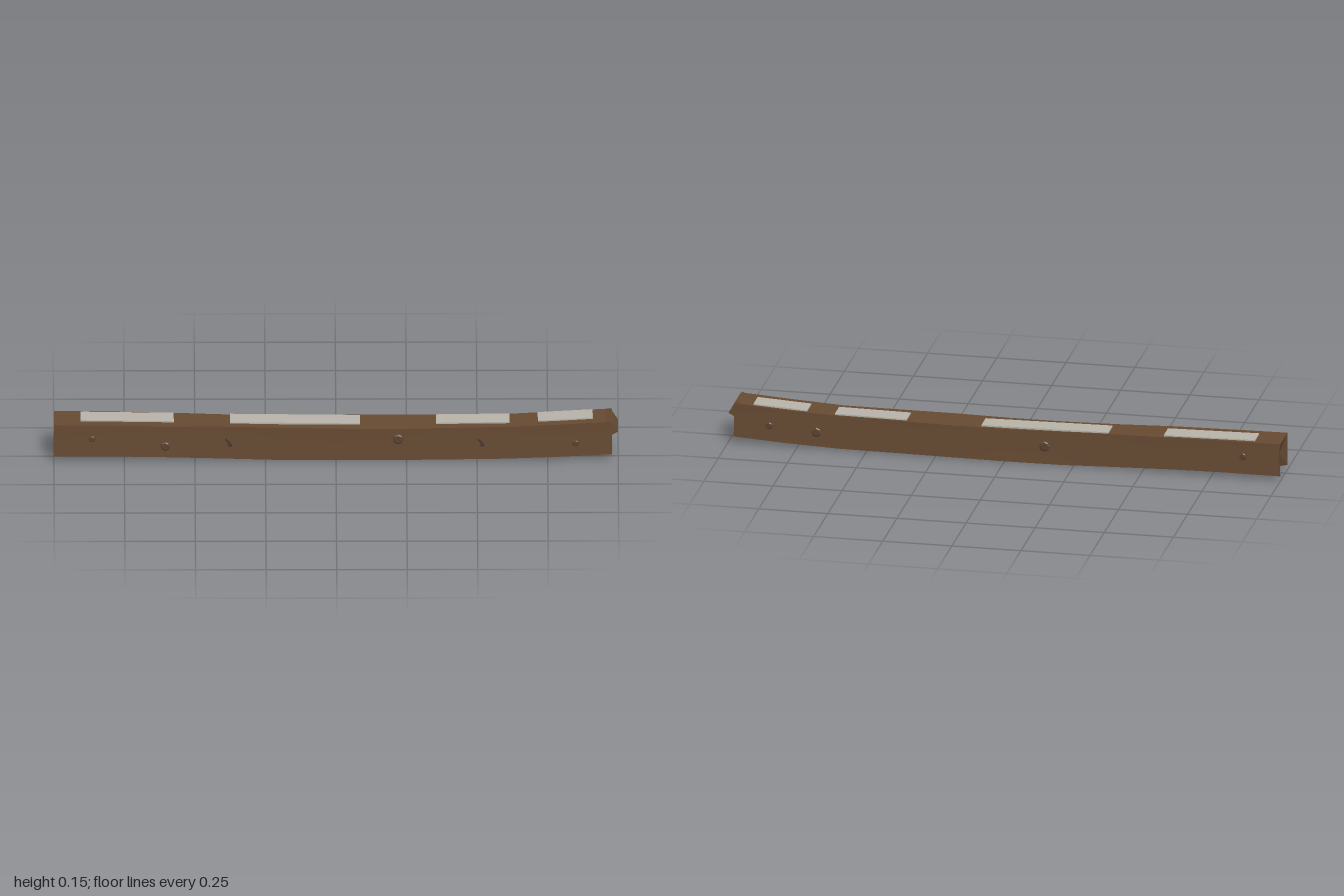
import * as THREE from 'three';

const wood = new THREE.MeshStandardMaterial({ color: 0x664a32 });
wood.name = 'weathered wood';
const pegWood = new THREE.MeshStandardMaterial({ color: 0x5a4230 });
pegWood.name = 'peg wood';
const iron = new THREE.MeshStandardMaterial({ color: 0x4a382c });
iron.name = 'rusty iron';
const pale = new THREE.MeshStandardMaterial({ color: 0xb6b2a8 });
pale.name = 'pale patch';

// Beam stations: x, bottom y, top y, back z, front z
const stations = [
  [-1, 0.02, 0.141, -0.085, 0.041],
  [-0.8, 0.02, 0.139, -0.083, 0.041],
  [-0.6, 0.017, 0.136, -0.081, 0.042],
  [-0.4, 0.009, 0.132, -0.074, 0.035],
  [-0.2, 0.003, 0.128, -0.074, 0.035],
  [0, 0.005, 0.126, -0.082, 0.04],
  [0.2, 0.007, 0.127, -0.083, 0.046],
  [0.4, 0.007, 0.129, -0.078, 0.041],
  [0.6, 0.008, 0.131, -0.077, 0.037],
  [0.8, 0.017, 0.141, -0.08, 0.04],
  [0.978, 0.027, 0.152, -0.077, 0.042],
];

// Interpolated station at any x
function sectionAt(x) {
  let i = 0;
  while (i < stations.length - 2 && stations[i + 1][0] < x) i++;
  const a = stations[i], b = stations[i + 1];
  const t = (x - a[0]) / (b[0] - a[0]);
  return a.map((v, k) => v + (b[k] - v) * t);
}

// Eight points around a section: corners and mid-sides, counter-clockwise seen from +x
function ring([x, y0, y1, zb, zf], first) {
  const ym = (y0 + y1) / 2, zm = (zb + zf) / 2, dent = 0.001;
  const low = first ? [x + 0.035, y0 + 0.012, zm] : [x, y0, zm];
  return [
    [x, y0, zf], low, [x, y0, zb], [x + (first ? 0.008 : 0), ym, zb + dent],
    [x, y1, zb], [x, y1, zm], [x, y1, zf], [x, ym, zf - dent],
  ];
}

function surface(points, index) {
  const g = new THREE.BufferGeometry();
  g.setAttribute('position', new THREE.Float32BufferAttribute(points.flat(), 3));
  g.setIndex(index);
  g.computeVertexNormals();
  return g;
}

function add(parent, geometry, material, name) {
  const m = new THREE.Mesh(geometry, material);
  m.name = name;
  parent.add(m);
  return m;
}

function buildBeam() {
  const beam = new THREE.Group();
  beam.name = 'beam';
  const rings = stations.map((s, i) => ring(s, i === 0));
  // Each long side is its own strip, keeping the four edges sharp
  ['bottomSide', 'backSide', 'topSide', 'frontSide'].forEach((name, s) => {
    const pts = [], idx = [];
    rings.forEach((r, i) => {
      for (let k = 0; k < 3; k++) pts.push(r[(s * 2 + k) % 8]);
      if (i === 0) return;
      for (let k = 0; k < 2; k++) {
        const a = (i - 1) * 3 + k, b = a + 1, c = a + 3, d = c + 1;
        idx.push(a, b, c, b, d, c);
      }
    });
    add(beam, surface(pts, idx), wood, name);
  });
  // End caps; the far end is scooped inward
  const cap = (r, inset, flip, name) => {
    const c = [r[0][0] + inset, (r[0][1] + r[4][1]) / 2, (r[0][2] + r[4][2]) / 2];
    const idx = [];
    for (let k = 0; k < 8; k++) {
      const n = (k + 1) % 8;
      idx.push(8, ...(flip ? [n, k] : [k, n]));
    }
    add(beam, surface([...r, c], idx).toNonIndexed(), wood, name).geometry.computeVertexNormals();
  };
  cap(rings[0], 0.018, true, 'scoopedEnd');
  cap(rings[rings.length - 1], 0, false, 'plainEnd');
  return beam;
}

// Splintered lip over the plain end
function buildLip() {
  const s = new THREE.Shape();
  [[0.95, 0.148], [0.972, 0.157], [1, 0.112], [0.978, 0.1], [0.95, 0.1]]
    .forEach(([x, y], i) => (i ? s.lineTo(x, y) : s.moveTo(x, y)));
  const g = new THREE.ExtrudeGeometry(s, { depth: 0.107, bevelEnabled: false });
  g.translate(0, 0, -0.07);
  return g;
}

// Round peg with a chamfered head, on the front (side 1) or back (side -1)
function addPeg(parent, x, y, r, side) {
  const st = sectionAt(x), z = side > 0 ? st[4] : st[3];
  const profile = [[r, -0.01], [r, 0.003], [r * 0.75, 0.006], [0, 0.006]]
    .map((p) => new THREE.Vector2(...p));
  const g = new THREE.LatheGeometry(profile, 8).toNonIndexed();
  g.computeVertexNormals();
  const m = add(parent, g, pegWood, side > 0 ? 'frontPeg' : 'backPeg');
  m.rotation.x = side * Math.PI / 2;
  m.position.set(x, y, z);
}

// Bent nail sticking out of the front
function addNail(parent, x, y) {
  const nail = new THREE.Group();
  nail.name = 'bentNail';
  const path = new THREE.CatmullRomCurve3([
    [-0.014, 0.03], [-0.009, 0.045], [-0.001, 0.06], [0.002, 0.085],
  ].map(([px, pz]) => new THREE.Vector3(px, 0, pz)));
  add(nail, new THREE.TubeGeometry(path, 8, 0.0035, 6), iron, 'nailShaft');
  const head = add(nail, new THREE.CylinderGeometry(0.008, 0.008, 0.003, 8), iron, 'nailHead');
  head.rotation.x = Math.PI / 2;
  head.position.set(0.002, 0, 0.0855);
  nail.position.set(x, y, 0);
  parent.add(nail);
}

export function createModel() {
  const model = new THREE.Group();
  model.name = 'woodenBeam';
  model.add(buildBeam());
  add(model, buildLip(), wood, 'endLip');

  // Pale patches laid along the top
  [[-0.905, -0.575], [-0.375, 0.085], [0.355, 0.615], [0.715, 0.91]].forEach(([x0, x1]) => {
    const ya = sectionAt(x0)[2], yb = sectionAt(x1)[2];
    const p = add(model, new THREE.BoxGeometry(x1 - x0, 0.008, 0.075), pale, 'topPatch');
    p.position.set((x0 + x1) / 2, (ya + yb) / 2 + 0.0005, -0.0325);
    p.rotation.z = Math.atan2(yb - ya, x1 - x0);
  });

  // Pegs: x, y, radius, side
  [
    [-0.605, 0.06, 0.017, 1], [0.22, 0.088, 0.019, 1],
    [-0.865, 0.088, 0.012, 1], [0.85, 0.07, 0.012, 1],
    [0.68, 0.065, 0.018, -1], [-0.145, 0.07, 0.019, -1],
    [-0.865, 0.085, 0.013, -1], [0.85, 0.078, 0.013, -1],
  ].forEach((p) => addPeg(model, ...p));

  addNail(model, -0.378, 0.083);
  addNail(model, 0.516, 0.083);
  return model;
}
